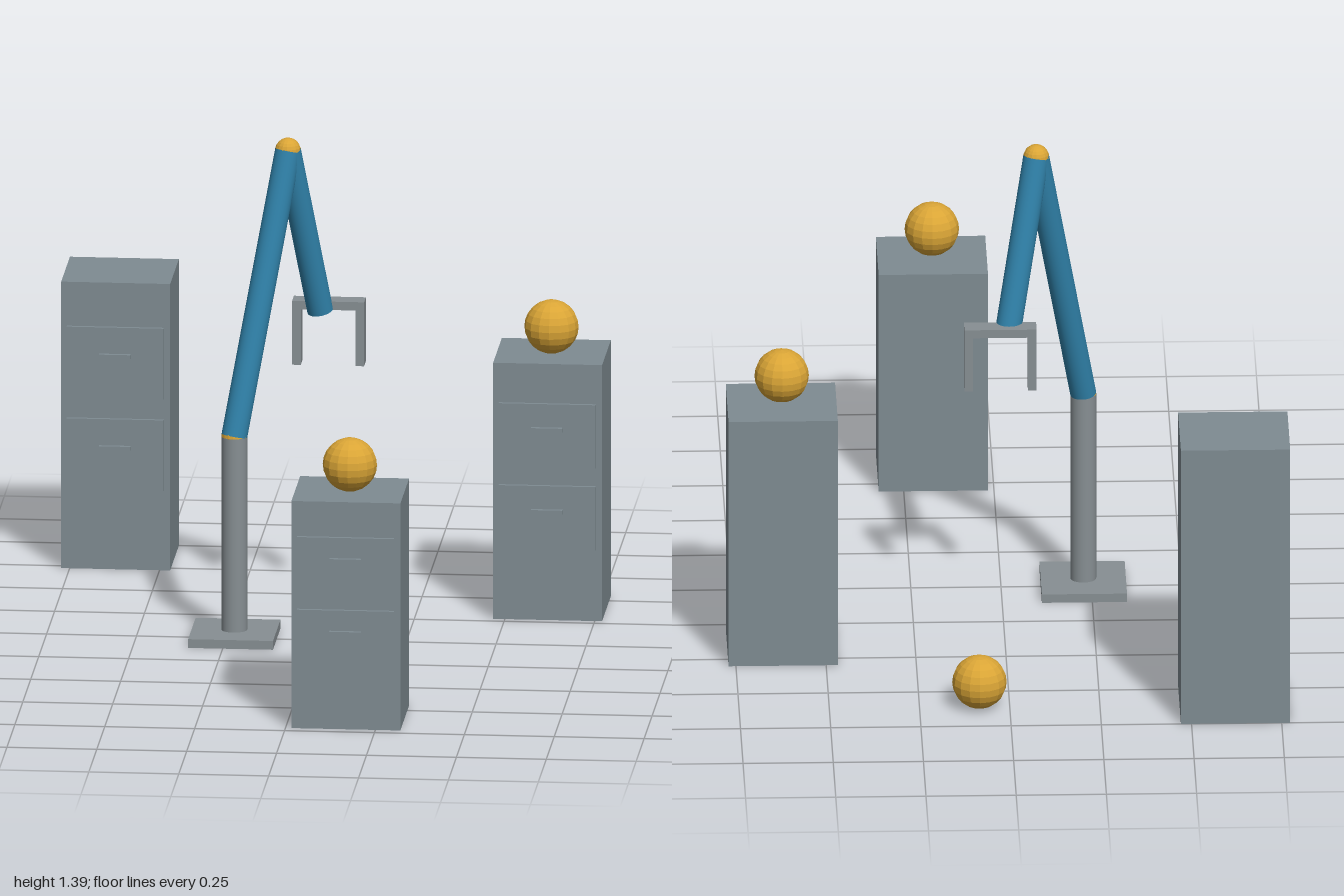
import * as THREE from 'three';

export function createModel() {
  const model = new THREE.Group();
  model.name = 'robotArmWithCabinets';
  const mat = (name, color, flatShading = false) => {
    const m = new THREE.MeshStandardMaterial({ color, flatShading });
    m.name = name;
    return m;
  };
  const cabinetGrey = mat('cabinetGrey', 0x7f8c92);
  const steel = mat('steel', 0x878f93);
  const blue = mat('armBlue', 0x3082aa);
  const gold = mat('gold', 0xdaa536, true);

  const add = (parent, name, geometry, material, x, y, z) => {
    const mesh = new THREE.Mesh(geometry, material);
    mesh.name = name;
    mesh.position.set(x, y, z);
    parent.add(mesh);
    return mesh;
  };
  const box = (parent, name, material, w, h, d, x, y, z) =>
    add(parent, name, new THREE.BoxGeometry(w, h, d), material, x, y, z);
  const ball = (name, r, x, y, z) =>
    add(model, name, new THREE.SphereGeometry(r, 16, 12), gold, x, y, z);

  // Cylinder running between two points
  const tube = (name, material, a, b, r) => {
    const dir = b.clone().sub(a);
    const mid = a.clone().add(b).multiplyScalar(0.5);
    const mesh = add(model, name, new THREE.CylinderGeometry(r, r, dir.length(), 24), material, ...mid);
    mesh.quaternion.setFromUnitVectors(new THREE.Vector3(0, 1, 0), dir.normalize());
  };

  // Cabinets: body with two drawer fronts floating just ahead of it, and pulls
  const depth = 0.275;
  const cabinet = (name, x, z, h) => {
    const g = new THREE.Group();
    g.name = name;
    g.position.set(x, 0, z);
    box(g, 'cabinetBody', cabinetGrey, 0.303, h, depth, 0, h / 2, 0);
    for (const level of [0.405, 0.725]) {
      box(g, 'drawerFront', cabinetGrey, 0.27, h * 0.248, 0.011, 0, h * level, depth / 2 + 0.0125);
      box(g, 'drawerHandle', cabinetGrey, 0.088, 0.0125, 0.012, 0, h * (level + 0.025), depth / 2 + 0.024);
    }
    model.add(g);
  };
  cabinet('tallCabinet', -0.622, -0.8625, 0.82);
  cabinet('shortCabinet', 0.168, 0.8325, 0.65);
  cabinet('middleCabinet', 0.619, -0.4125, 0.733);

  // Loose balls, two on cabinets and one on the floor
  ball('shortCabinetBall', 0.0755, 0.168, 0.7255, 0.844);
  ball('middleCabinetBall', 0.0755, 0.619, 0.8085, -0.398);
  ball('floorBall', 0.0755, 0.084, 0.0765, -0.863);

  // Arm: base, column, two links and their joints
  const r = 0.036;
  const shoulder = new THREE.Vector3(-0.228, 0.578, 0);
  const elbow = new THREE.Vector3(-0.093, 1.357, -0.162);
  const wrist = new THREE.Vector3(-0.012, 0.875, -0.26);
  box(model, 'basePlate', steel, 0.236, 0.025, 0.236, shoulder.x, 0.0125, 0);
  tube('column', steel, new THREE.Vector3(shoulder.x, 0.02, 0), shoulder, r);
  ball('shoulderJoint', r, ...shoulder);
  tube('upperArm', blue, shoulder, elbow, r);
  ball('elbowJoint', r, ...elbow);
  tube('forearm', blue, elbow, wrist, r);

  // Gripper: palm bar with two fingers hanging down
  const gripper = new THREE.Group();
  gripper.name = 'gripper';
  gripper.position.set(0.01, 0.89, -0.286);
  box(gripper, 'palm', steel, 0.2, 0.024, 0.056, 0, 0, 0);
  for (const side of [-1, 1])
    box(gripper, 'finger', steel, 0.024, 0.16, 0.056, side * 0.088, -0.091, 0);
  model.add(gripper);

  return model;
}
